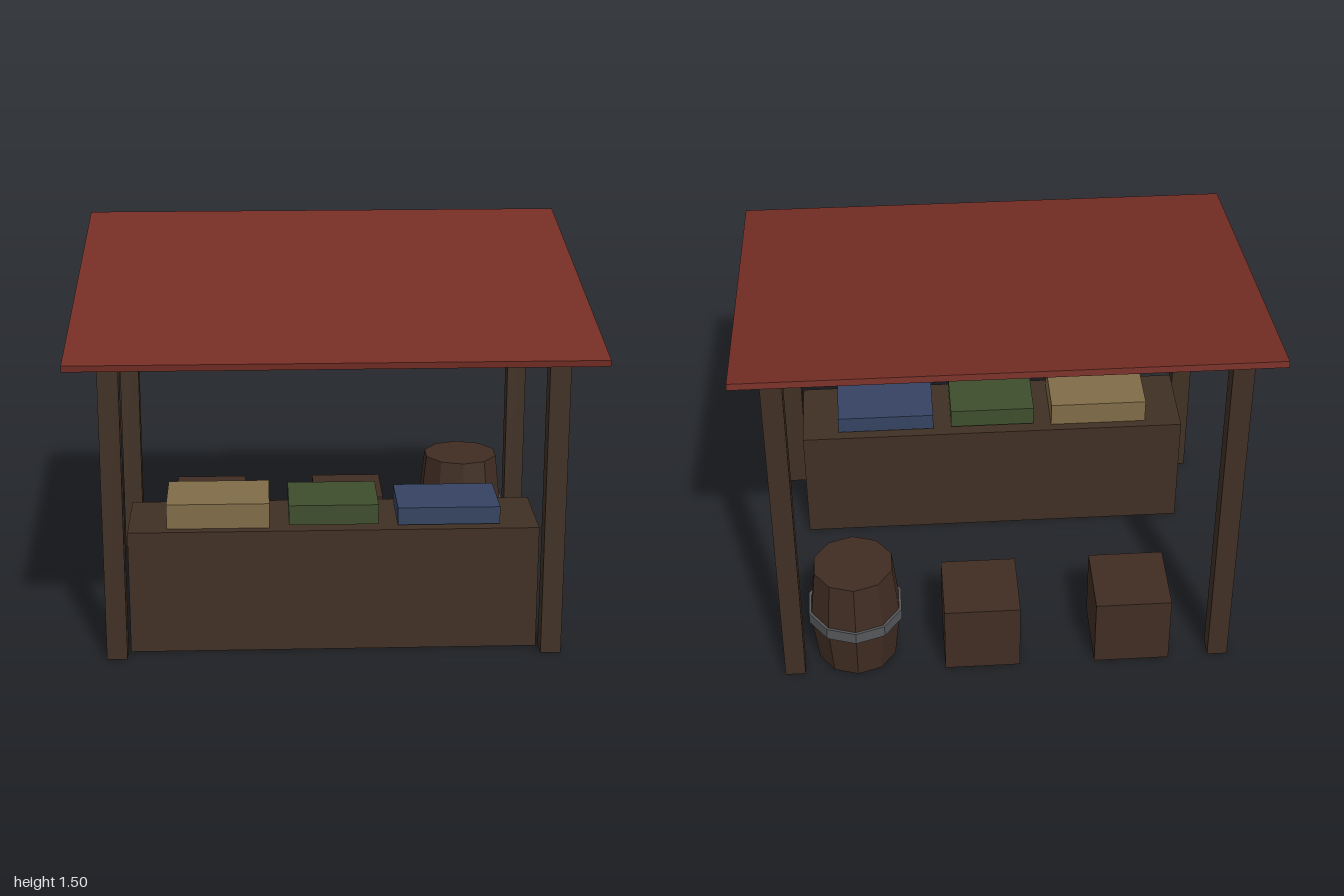
import * as THREE from 'three';

function material(name, color) {
  const m = new THREE.MeshStandardMaterial({ color });
  m.name = name;
  return m;
}

export function createModel() {
  const group = new THREE.Group();
  group.name = 'marketStall';

  const wood = material('dark wood', 0x403024);
  const caskWood = material('reddish dark wood', 0x402d23);
  const roofRed = material('roof red', 0x752e25);
  const iron = material('iron grey', 0x55575a);
  const tan = material('tan goods', 0x806c47);
  const green = material('green goods', 0x3e4e2d);
  const blue = material('blue goods', 0x354261);
  const caskFlat = caskWood;
  caskFlat.flatShading = true;
  iron.flatShading = true;

  const add = (name, geometry, mat, x, y, z) => {
    const mesh = new THREE.Mesh(geometry, mat);
    mesh.name = name;
    mesh.position.set(x, y, z);
    group.add(mesh);
    return mesh;
  };
  // Box placed by its centre in x and z and by its base height
  const box = (name, mat, w, h, d, x, y, z) =>
    add(name, new THREE.BoxGeometry(w, h, d), mat, x, y + h / 2, z);

  // Sloping roof, high at the back
  const roof = box('roof', roofRed, 2, 0.025, 1.565, 0, 1.352, 0);
  roof.rotation.x = Math.atan2(0.25, 1.55);

  // Corner posts, short in front and tall behind
  for (const side of [-1, 1]) {
    const label = side > 0 ? 'Left' : 'Right';
    box('front' + label + 'Post', wood, 0.08, 1.25, 0.08, side * 0.85, 0, 0.53);
    box('back' + label + 'Post', wood, 0.08, 1.45, 0.08, side * 0.85, 0, -0.68);
  }

  // Counter and the goods on it
  box('counter', wood, 1.6, 0.5, 0.35, 0, 0, 0.325);
  box('tanGoods', tan, 0.4, 0.1, 0.275, -0.45, 0.5, 0.325);
  box('greenGoods', green, 0.35, 0.08, 0.275, 0, 0.51, 0.325);
  box('blueGoods', blue, 0.4, 0.07, 0.275, 0.45, 0.505, 0.325);

  // Crates behind the counter
  for (const x of [0.1, -0.5]) box('crate', caskWood, 0.3, 0.3, 0.3, x, 0, -0.575);

  // Ten-sided barrel with a bulging middle and one hoop
  const profile = [[0, 0], [0.16, 0], [0.185, 0.225], [0.16, 0.45], [0, 0.45]]
    .map(([r, y]) => new THREE.Vector2(r, y));
  add('barrel', new THREE.LatheGeometry(profile, 10), caskFlat, 0.6, 0, -0.575);
  add('barrelHoop', new THREE.CylinderGeometry(0.193, 0.193, 0.05, 10), iron, 0.6, 0.225, -0.575);

  return group;
}
